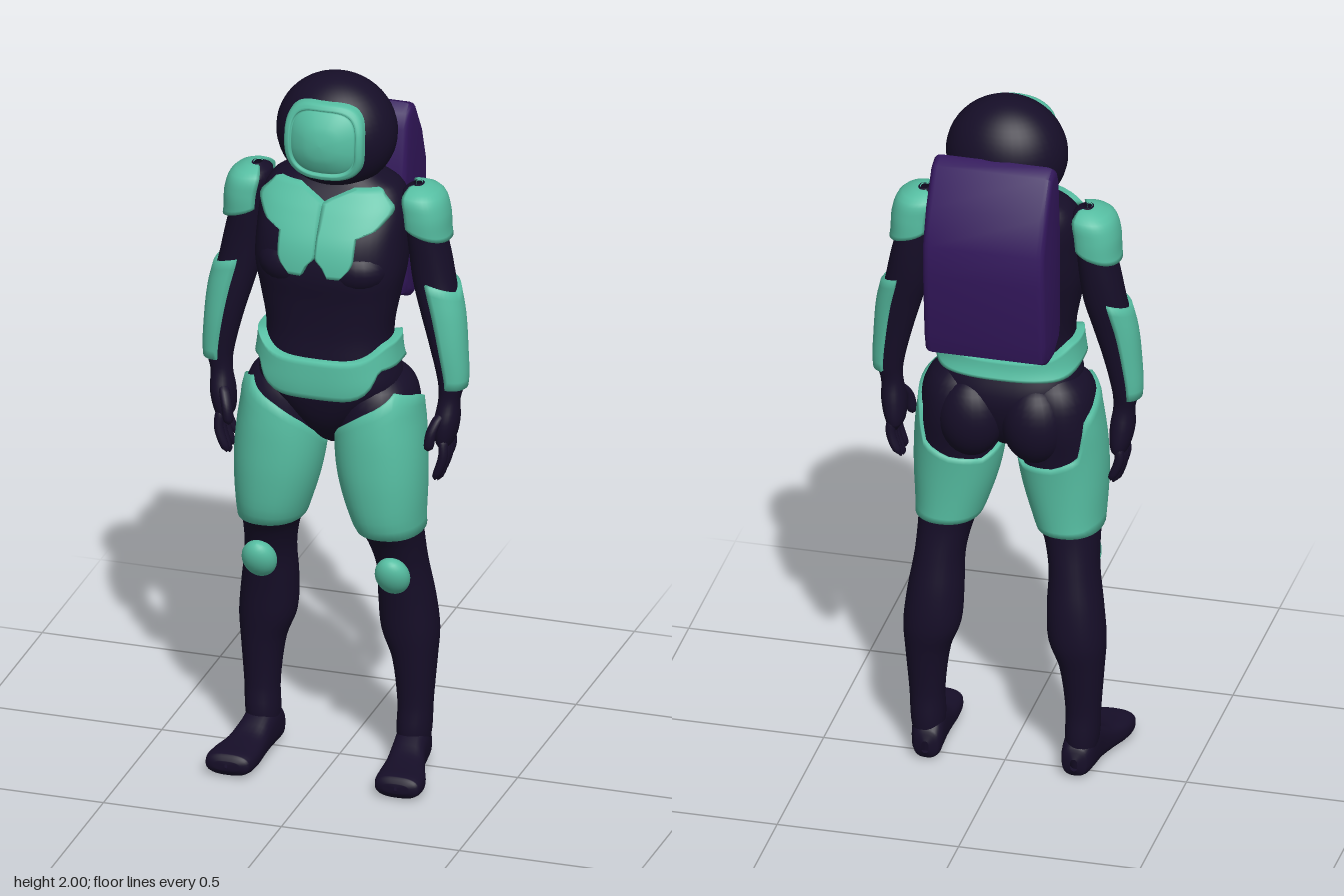
import * as THREE from 'three';
import { toCreasedNormals } from 'three/addons/utils/BufferGeometryUtils.js';

const paint = (color) => new THREE.MeshStandardMaterial({ color, side: THREE.DoubleSide });
const rad = THREE.MathUtils.degToRad, lerp = THREE.MathUtils.lerp, step = THREE.MathUtils.smoothstep;

// Interpolate table rows keyed by their first column (ascending), straight or as a smooth curve.
function sample(rows, t, smooth) {
  let i = 0;
  while (i < rows.length - 2 && t > rows[i + 1][0]) i++;
  const a = rows[i], b = rows[i + 1], h = b[0] - a[0];
  const k = THREE.MathUtils.clamp((t - a[0]) / h, 0, 1);
  if (!smooth) return a.map((v, c) => lerp(v, b[c], k));
  const p = rows[Math.max(i - 1, 0)], q = rows[Math.min(i + 2, rows.length - 1)];
  return a.map((v, c) => {
    const m0 = (b[c] - p[c]) / (b[0] - p[0]) * h, m1 = (q[c] - v) / (q[0] - a[0]) * h;
    const k2 = k * k, k3 = k2 * k;
    return (2 * k3 - 3 * k2 + 1) * v + (k3 - 2 * k2 + k) * m0 + (3 * k2 - 2 * k3) * b[c] + (k3 - k2) * m1;
  });
}

const bow = (v, n) => Math.sign(v) * Math.abs(v) ** (2 / n);

// Body surface from rings [y, centre x, half width, back z, front z]; angle 0 is +x, 90 degrees is front.
function limb(rings, n = 2.2) {
  const surface = (a, y, off = 0) => {
    const [, cx, rx, zb, zf] = sample(rings, y, true);
    return [cx + (rx + off) * bow(Math.cos(a), n), y, (zb + zf) / 2 + ((zf - zb) / 2 + off) * bow(Math.sin(a), n)];
  };
  return Object.assign(surface, { rings, n });
}

// Grid of points f(u, v); closed grids join around u.
function grid(f, nu, nv, closed) {
  const pos = [], index = [], cols = closed ? nu : nu + 1;
  for (let j = 0; j <= nv; j++) for (let i = 0; i < cols; i++) pos.push(...f(i / nu, j / nv, i, j));
  for (let j = 0; j < nv; j++) for (let i = 0; i < nu; i++) {
    const a = j * cols + i, b = j * cols + (i + 1) % cols;
    index.push(a, a + cols, b, b, a + cols, b + cols);
  }
  const g = new THREE.BufferGeometry();
  g.setAttribute('position', new THREE.Float32BufferAttribute(pos, 3));
  g.setIndex(index);
  g.computeVertexNormals();
  return g;
}

// Whole limb, four steps between neighbouring rings.
function body(s, nu = 32) {
  const nv = (s.rings.length - 1) * 4;
  return grid((u, v, i, j) => {
    const r = Math.min(Math.floor(j / 4), s.rings.length - 2);
    return s(u * Math.PI * 2, lerp(s.rings[r][0], s.rings[r + 1][0], j / 4 - r));
  }, nu, nv, true);
}

// Raised armour over a surface; map(u, v) gives [angle, y]. Borders sink to make an edge.
function armour(s, map, off, nu, nv, closed) {
  return grid((u, v, i, j) => {
    const edge = j === 0 || j === nv || (!closed && (i === 0 || i === nu));
    const uu = closed ? u : THREE.MathUtils.clamp((i - 1) / (nu - 2), 0, 1);
    const [a, y] = map(uu, THREE.MathUtils.clamp((j - 1) / (nv - 2), 0, 1));
    return s(a, y, edge ? -0.006 : off);
  }, nu, nv, closed);
}

// Reverse the corner order after a reflection.
function flip(g) {
  const ix = g.index.array;
  for (let i = 0; i < ix.length; i += 3) [ix[i], ix[i + 1]] = [ix[i + 1], ix[i]];
  g.computeVertexNormals();
  return g;
}

function ball(p, r, tilt = 0) {
  return new THREE.SphereGeometry(1, 24, 16).scale(...r).rotateX(tilt).translate(...p);
}

function finger(points, r) {
  const curve = new THREE.CatmullRomCurve3(points.map((p) => new THREE.Vector3(...p)));
  return grid((u, v) => {
    const p = curve.getPoint(1 - v), a = u * Math.PI * 2;
    const k = r * Math.sqrt(Math.max(0.001, 1 - Math.abs(2 * v - 1) ** 6));
    return [p.x + k * Math.cos(a), p.y, p.z + k * Math.sin(a)];
  }, 10, 12, true);
}

export function createModel() {
  const model = new THREE.Group();
  const dark = paint(0x160e28), teal = paint(0x56bea2), purple = paint(0x33175c);
  const add = (name, g, mat) => {
    const m = new THREE.Mesh(g, mat);
    m.name = name;
    model.add(m);
  };
  const pair = (name, g, mat) => {
    add(name + 'Left', g, mat);
    add(name + 'Right', flip(g.clone().scale(-1, 1, 1)), mat);
  };

  // Torso and pelvis
  const torso = limb([
    [0.945, 0, 0.01, 0.03, 0.07], [0.97, 0, 0.035, -0.01, 0.11], [1.03, 0, 0.09, -0.05, 0.16],
    [1.1, 0, 0.165, -0.07, 0.19], [1.15, 0, 0.195, -0.065, 0.2], [1.22, 0, 0.178, -0.04, 0.2],
    [1.3, 0, 0.172, -0.04, 0.195], [1.4, 0, 0.19, -0.055, 0.2], [1.48, 0, 0.205, -0.075, 0.21],
    [1.57, 0, 0.205, -0.09, 0.195], [1.65, 0, 0.2, -0.09, 0.15], [1.7, 0, 0.175, -0.075, 0.11],
    [1.73, 0, 0.12, -0.06, 0.09], [1.76, 0, 0.08, -0.04, 0.07]], 2.5);
  add('torso', body(torso, 48), dark);
  pair('chestMuscle', ball([0.088, 1.495, 0.13], [0.095, 0.07, 0.08]), dark);
  pair('buttock', ball([0.088, 1.05, -0.025], [0.09, 0.115, 0.075]), dark);

  // Chest plate halves: rows of y, inner x, outer x
  const plate = [[1.49, 0.035, 0.065], [1.52, 0.02, 0.09], [1.54, 0, 0.098], [1.6, 0, 0.1], [1.62, 0, 0.145],
    [1.66, 0, 0.175], [1.675, 0, 0.17], [1.71, 0.075, 0.135]];
  pair('chestPlate', armour(torso, (u, v) => {
    const y = lerp(1.49, 1.71, v), [, x0, x1] = sample(plate, y), w = sample(torso.rings, y, true)[2];
    return [Math.acos(Math.min(1, lerp(x1, x0, u) / w) ** (torso.n / 2)), y];
  }, 0.018, 18, 26), teal);

  // Belt, dropping to a wide point in front
  add('belt', armour(torso, (u, v) => {
    const a = u * Math.PI * 2, s = Math.sin(a);
    const lo = 1.215 - 0.085 * step(s, 0.55, 0.97) - 0.025 * step(-s, 0, 0.8);
    const hi = 1.28 - 0.04 * step(Math.abs(s), 0.3, 1);
    return [a, lerp(lo, hi, v)];
  }, 0.022, 64, 10, true), teal);

  // Legs
  const leg = limb([
    [0.02, 0.21, 0.03, -0.04, 0.04], [0.1, 0.212, 0.045, -0.052, 0.065], [0.19, 0.215, 0.047, -0.05, 0.06],
    [0.32, 0.212, 0.06, -0.067, 0.07], [0.4, 0.2, 0.077, -0.08, 0.08], [0.5, 0.192, 0.075, -0.075, 0.09],
    [0.6, 0.185, 0.067, -0.058, 0.108], [0.68, 0.175, 0.073, -0.045, 0.14], [0.74, 0.163, 0.086, -0.042, 0.176],
    [0.85, 0.149, 0.106, -0.046, 0.192], [0.95, 0.14, 0.113, -0.055, 0.194], [1.05, 0.135, 0.107, -0.07, 0.188],
    [1.14, 0.13, 0.092, -0.055, 0.165], [1.2, 0.12, 0.03, 0, 0.09]]);
  pair('leg', body(leg), dark);
  const thighTop = [[0, 1.11], [45, 1.14], [90, 1.09], [135, 1.03], [180, 0.95], [225, 0.92], [270, 0.93],
    [305, 0.96], [325, 1.07], [360, 1.11]];
  pair('thighGuard', armour(leg, (u, v) => [u * Math.PI * 2, lerp(0.72, sample(thighTop, u * 360)[1], v)],
    0.009, 40, 16, true), teal);
  pair('kneePad', ball([0.187, 0.597, 0.118], [0.048, 0.062, 0.038], 0.5), teal);

  // Feet, lofted from heel to toe and laid flat
  const foot = body(limb([
    [-0.062, 0.205, 0.01, 0.025, 0.06], [-0.05, 0.205, 0.036, 0.006, 0.09], [0, 0.21, 0.045, 0, 0.13],
    [0.06, 0.215, 0.047, 0, 0.11], [0.12, 0.224, 0.055, 0, 0.08], [0.18, 0.234, 0.066, 0, 0.07],
    [0.235, 0.238, 0.062, 0.004, 0.066], [0.248, 0.238, 0.04, 0.02, 0.05], [0.25, 0.238, 0.004, 0.03, 0.04]], 2.6));
  const fp = foot.attributes.position;
  for (let i = 0; i < fp.count; i++) fp.setXYZ(i, fp.getX(i), fp.getZ(i), fp.getY(i));
  pair('foot', flip(foot), dark);

  // Arms and palms
  const arm = limb([
    [0.955, 0.307, 0.006, 0.01, 0.06], [0.98, 0.309, 0.024, -0.012, 0.08], [1.04, 0.315, 0.033, -0.01, 0.085],
    [1.1, 0.32, 0.029, 0.002, 0.068], [1.15, 0.325, 0.036, -0.005, 0.07], [1.25, 0.312, 0.046, -0.016, 0.077],
    [1.35, 0.293, 0.056, -0.028, 0.076], [1.43, 0.273, 0.058, -0.04, 0.072], [1.5, 0.261, 0.056, -0.047, 0.073],
    [1.57, 0.25, 0.052, -0.05, 0.078], [1.64, 0.244, 0.053, -0.05, 0.082], [1.69, 0.232, 0.045, -0.04, 0.07],
    [1.71, 0.225, 0.012, -0.005, 0.03]]);
  pair('arm', body(arm), dark);
  pair('forearmGuard', armour(arm, (u, v) => [rad(lerp(-75, 95, u)),
    lerp(1.14, 1.41 + 0.03 * Math.abs(2 * u - 1), v)], 0.01, 20, 14), teal);
  pair('shoulderPad', armour(arm, (u, v) => [rad(lerp(-125, 120, u)),
    lerp(1.56 + 0.04 * (2 * u - 1) ** 2, 1.708, v)], 0.015, 26, 14), teal);

  // Fingers and thumb
  for (let i = 0; i < 4; i++) {
    const z = -0.002 + i * 0.026, drop = [0.03, 0.01, 0, 0.012][i];
    pair('finger' + (i + 1), finger([[0.312, 1.0, z * 0.85 + 0.004], [0.315, 0.94 + drop / 2, z],
      [0.292, 0.862 + drop, z * 1.05 - 0.003]], 0.0135), dark);
  }
  pair('thumb', finger([[0.307, 1.07, 0.065], [0.288, 1.02, 0.093], [0.28, 0.965, 0.098]], 0.015), dark);

  // Helmet and visor with a raised rim
  const c = [0, 1.84, 0.022], r = [0.165, 0.16, 0.14];
  add('helmet', new THREE.SphereGeometry(1, 40, 28).scale(...r).translate(...c), dark);
  const onHelmet = (x, y, off) => [x, y, c[2] + off
    + r[2] * Math.sqrt(Math.max(0, 1 - (x / r[0]) ** 2 - ((y - c[1]) / r[1]) ** 2))];
  const rim = [[0, 0, 0.014], [0.25, 0.4, 0.013], [0.5, 0.76, 0.008], [0.6, 0.8, 0.006], [0.7, 0.84, 0.017],
    [0.85, 0.95, 0.02], [0.95, 0.99, 0.014], [1, 1, -0.01]];
  add('visor', grid((u, v) => {
    const a = u * Math.PI * 2, [, t, off] = sample(rim, v);
    return onHelmet(0.112 * t * bow(Math.cos(a), 3.2), 1.85 + 0.11 * t * bow(Math.sin(a), 3.2), off);
  }, 48, 20, true), teal);

  // Backpack: side profile (z, y) extruded across the back
  const profile = [[-0.08, 1.86], [-0.11, 1.88], [-0.15, 1.865], [-0.21, 1.77], [-0.245, 1.67], [-0.247, 1.58],
    [-0.23, 1.39], [-0.215, 1.335], [-0.18, 1.315], [-0.12, 1.31], [-0.06, 1.34], [-0.045, 1.38], [-0.045, 1.66],
    [-0.06, 1.82]];
  const pack = new THREE.ExtrudeGeometry(new THREE.Shape(profile.map((p) => new THREE.Vector2(...p))),
    { depth: 0.296, bevelThickness: 0.02, bevelSize: 0.02, bevelOffset: -0.02, bevelSegments: 3 });
  pack.translate(0, 0, -0.148).rotateY(-Math.PI / 2);
  add('backpack', toCreasedNormals(pack, 0.7), purple);

  return model;
}
